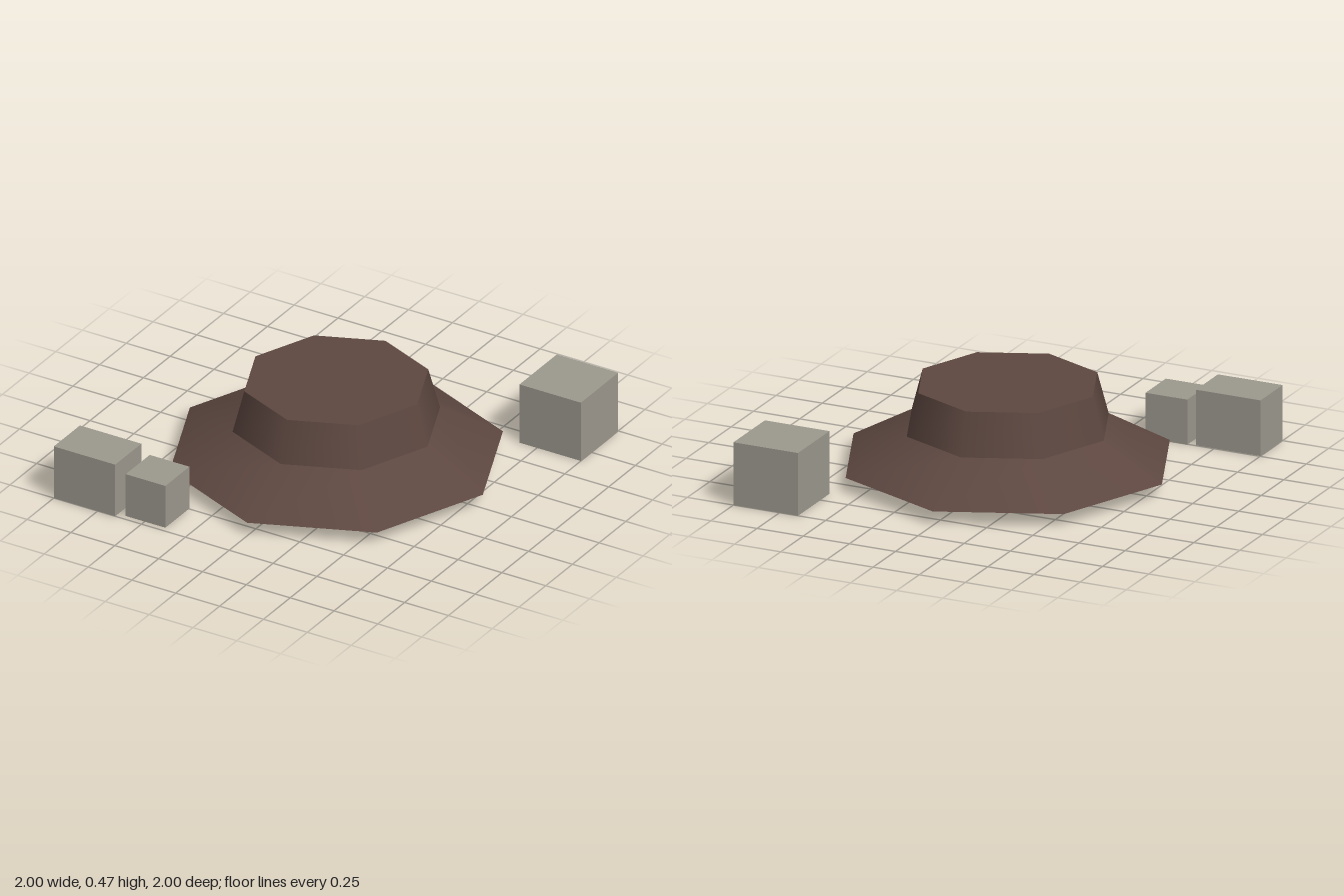
import * as THREE from 'three';

export function createModel() {
  const group = new THREE.Group();
  const brown = new THREE.MeshStandardMaterial({ color: 0x5d4740 });
  brown.name = 'earthBrown';
  const grey = new THREE.MeshStandardMaterial({ color: 0x9c988e });
  grey.name = 'stoneGrey';

  const add = (name, geometry, material, x, y, z) => {
    const mesh = new THREE.Mesh(geometry, material);
    mesh.name = name;
    mesh.position.set(x, y, z);
    group.add(mesh);
  };

  // Eight-sided tiers of the mound, smooth around the sides
  const tier = (name, topRadius, bottomRadius, y0, y1) =>
    add(name, new THREE.CylinderGeometry(topRadius, bottomRadius, y1 - y0, 8), brown, 0, (y0 + y1) / 2, -0.003);
  tier('lowerMound', 0.52, 0.835, 0.073, 0.25);
  tier('upperMound', 0.461, 0.52, 0.25, 0.468);

  // Loose blocks standing on the ground
  const block = (name, x0, x1, height, z0, z1) =>
    add(name, new THREE.BoxGeometry(x1 - x0, height, z1 - z0), grey, (x0 + x1) / 2, height / 2, (z0 + z1) / 2);
  block('wideBlock', -1, -0.65, 0.288, 0.755, 1);
  block('smallBlock', -0.608, -0.382, 0.233, 0.745, 0.97);
  block('largeBlock', 0.65, 1, 0.325, -1, -0.65);

  return group;
}
